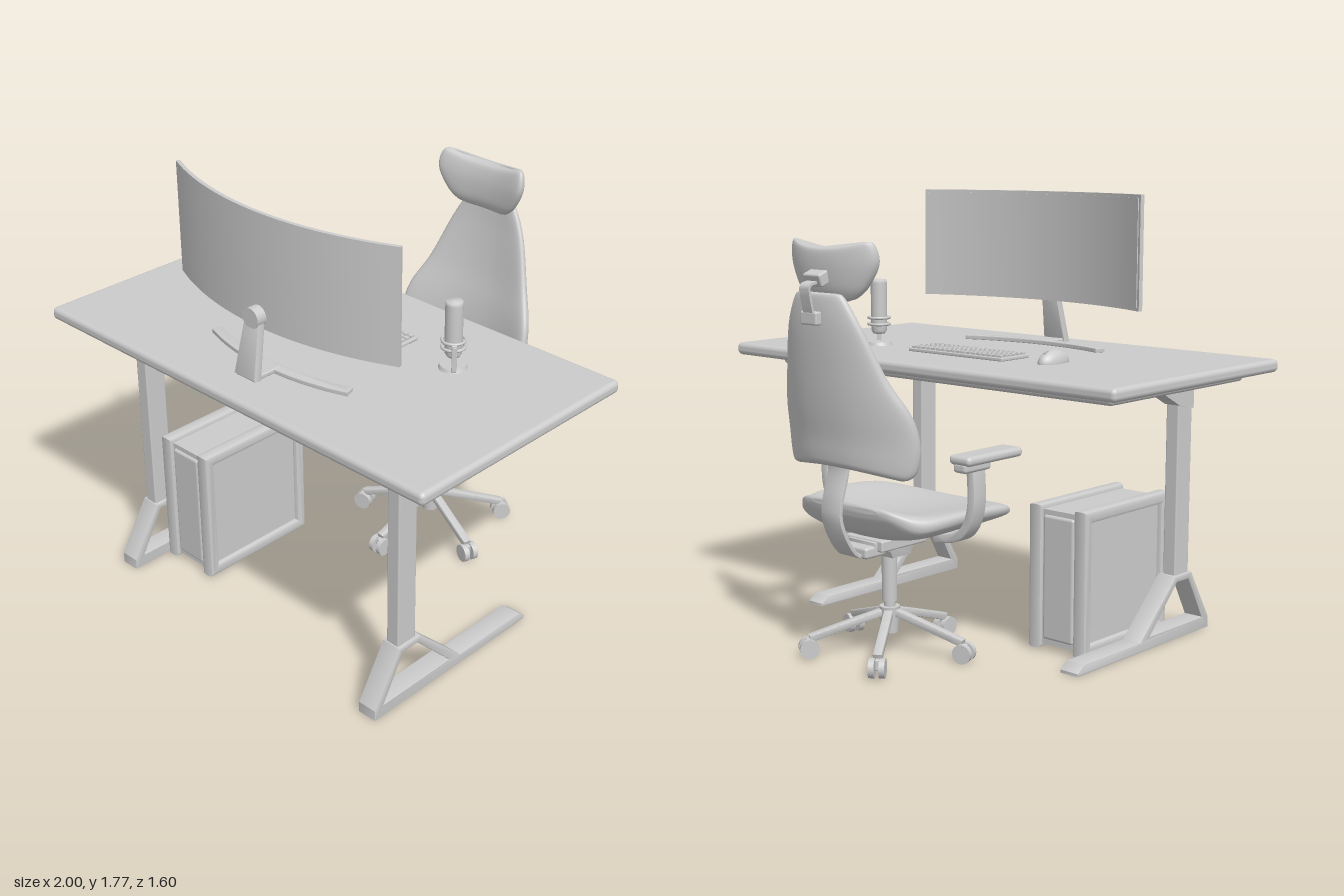
import * as THREE from 'three';
import { mergeGeometries, toCreasedNormals } from 'three/addons/utils/BufferGeometryUtils.js';
import { RoundedBoxGeometry } from 'three/addons/geometries/RoundedBoxGeometry.js';

const material = new THREE.MeshStandardMaterial({ color: 0xcccccc, side: THREE.DoubleSide });

function add(parent, name, geometry, x = 0, y = 0, z = 0) {
  const mesh = new THREE.Mesh(geometry, material);
  mesh.name = name;
  mesh.position.set(x, y, z);
  parent.add(mesh);
  return mesh;
}
function group(parent, name, x = 0, y = 0, z = 0) {
  const g = new THREE.Group();
  g.name = name;
  g.position.set(x, y, z);
  parent.add(g);
  return g;
}
const box = (w, h, d) => new THREE.BoxGeometry(w, h, d);
const rbox = (w, h, d, r, s = 3) => new RoundedBoxGeometry(w, h, d, s, r);
const cyl = (rTop, rBottom, h, n = 32) => new THREE.CylinderGeometry(rTop, rBottom, h, n);
const vecs = (pts) => pts.map(([a, b]) => new THREE.Vector2(a, b));

// Extrusion centred on its depth, with an optional bevel
function slab(shape, depth, bevel = 0) {
  const g = new THREE.ExtrudeGeometry(shape, {
    depth: depth - 2 * bevel, bevelEnabled: bevel > 0, bevelThickness: bevel,
    bevelSize: bevel, bevelOffset: -bevel, bevelSegments: 2,
  });
  g.translate(0, 0, bevel - depth / 2);
  return toCreasedNormals(g, 0.5);
}
const poly = (pts) => new THREE.Shape(vecs(pts));
const toSide = (g) => g.rotateY(-Math.PI / 2); // drawn as (z, y)
const toTop = (g) => g.rotateX(Math.PI / 2); // drawn as (x, z)

// Band of constant thickness following a smooth path
function ribbon(pts, thickness, width, bevel = 0, n = 24) {
  const curve = new THREE.SplineCurve(vecs(pts));
  const left = [], right = [];
  for (let i = 0; i <= n; i++) {
    const p = curve.getPoint(i / n), t = curve.getTangent(i / n);
    const o = new THREE.Vector2(-t.y, t.x).multiplyScalar(thickness / 2);
    left.push(p.clone().add(o));
    right.unshift(p.clone().sub(o));
  }
  return slab(new THREE.Shape([...left, ...right]), width, bevel);
}
const arc = (radius, halfAngle, z) => Array.from({ length: 13 }, (_, i) => {
  const a = halfAngle * (i / 6 - 1);
  return [radius * Math.sin(a), z + radius * (Math.cos(a) - 1)];
});

// Upholstered form. Rows: [along, low, high, halfWidth, bend, sag]
function cushion(rows, place, power = 0.7, n = 48, m = 40) {
  const spline = new THREE.CubicInterpolant(rows.map((_, i) => i), rows.flat(), 6);
  const pos = [], idx = [];
  const pw = (v) => Math.sign(v) * Math.abs(v) ** power;
  const put = (r, x, w) => pos.push(...place(x, w + r[4] * x * x, r[0] + r[5] * x * x));
  for (let i = 0; i <= m; i++) {
    const r = spline.evaluate((i / m) * (rows.length - 1));
    for (let j = 0; j < n; j++) {
      const a = (j / n) * Math.PI * 2;
      put(r, r[3] * pw(Math.cos(a)), (r[1] + r[2]) / 2 + ((r[2] - r[1]) / 2) * pw(Math.sin(a)));
      if (i === m) continue;
      const A = i * n + j, B = i * n + (j + 1) % n;
      idx.push(A, B, B + n, A, B + n, A + n);
    }
  }
  const first = (m + 1) * n;
  for (const r of [rows[0], rows[rows.length - 1]]) put(r, 0, (r[1] + r[2]) / 2);
  for (let j = 0; j < n; j++) {
    const k = (j + 1) % n;
    idx.push(first, k, j, first + 1, m * n + j, m * n + k);
  }
  const g = new THREE.BufferGeometry();
  g.setAttribute('position', new THREE.Float32BufferAttribute(pos, 3));
  g.setIndex(idx);
  g.computeVertexNormals();
  return g;
}

function buildDesk(root) {
  const desk = group(root, 'desk');
  add(desk, 'deskTop', rbox(2, 0.052, 1.08, 0.02), 0, 1.106, 0.26);
  add(desk, 'underPanel', rbox(1.75, 0.05, 0.875, 0.018), 0, 1.063, 0.308);
  const foot = poly([[0.745, 0], [0.745, 0.045], [0.615, 0.26], [0.5, 0.26], [0.27, 0.04],
    [-0.09, 0.04], [-0.125, 0.012], [-0.125, 0]]);
  foot.holes.push(new THREE.Path(vecs([[0.697, 0.053], [0.595, 0.235], [0.515, 0.235], [0.335, 0.053]])));
  const bracket = poly([[0.61, 0.93], [0.515, 0.95], [0.37, 1.025], [0.37, 1.045], [0.61, 1.045]]);
  for (const s of [-1, 1]) {
    const leg = group(desk, s > 0 ? 'leftLeg' : 'rightLeg', s * 0.695);
    add(leg, 'legFoot', toSide(slab(foot, 0.085, 0.004)));
    add(leg, 'legColumn', rbox(0.058, 0.8, 0.095, 0.006), 0, 0.64, 0.5625);
    add(leg, 'legBracket', toSide(slab(bracket, 0.072)));
  }
}

function buildMonitor(root) {
  const monitor = group(root, 'monitor');
  add(monitor, 'monitorShell', toTop(ribbon(arc(1.36, 0.438, 0.58), 0.016, 0.455, 0, 40)), 0, 1.543);
  add(monitor, 'screen', toTop(ribbon(arc(1.35, 0.428, 0.57), 0.004, 0.43, 0, 40)), 0, 1.543);
  add(monitor, 'standBase', toTop(ribbon(arc(1.05, 0.35, 0.545), 0.045, 0.018, 0.004)), 0, 1.141);
  add(monitor, 'standLink', rbox(0.1, 0.02, 0.14, 0.006), 0, 1.142, 0.595);
  const neck = poly([[-0.056, 0], [0.056, 0], [0.036, 0.23], [-0.036, 0.23]]);
  add(monitor, 'standNeck', slab(neck, 0.034, 0.004), 0, 1.135, 0.652).rotation.x = -0.2;
  add(monitor, 'standPivot', cyl(0.041, 0.041, 0.05).rotateX(Math.PI / 2), 0, 1.365, 0.605);
}

function buildDesktopItems(root) {
  // Keyboard with a grid of keys
  const keyboard = group(root, 'keyboard', 0, 1.132, 0.08);
  add(keyboard, 'keyboardBody', rbox(0.5, 0.014, 0.165, 0.004), 0, 0.007);
  const keys = [];
  for (let row = 0; row < 6; row++) for (let col = 0; col < 18; col++)
    keys.push(box(0.021, 0.01, 0.02).translate((col - 8.5) * 0.0268, 0.017, (row - 2.5) * 0.0258));
  add(keyboard, 'keys', mergeGeometries(keys));

  // Mouse
  const mouse = group(root, 'mouse', -0.415, 1.132, 0.112);
  add(mouse, 'mouseBody', new THREE.SphereGeometry(1, 32, 12, 0, Math.PI * 2, 0, Math.PI / 2).scale(0.043, 0.052, 0.082));
  add(mouse, 'mouseWheel', cyl(0.012, 0.012, 0.01, 16).rotateZ(Math.PI / 2), 0, 0.04, -0.045);

  // Microphone on its stand
  const mic = group(root, 'microphone', 0.49, 1.132, 0.07);
  const profile = vecs([[0, 0.046], [0.024, 0.048], [0.032, 0.06], [0.034, 0.11], [0.034, 0.26], [0.031, 0.274], [0, 0.278]]);
  add(mic, 'microphoneBody', new THREE.LatheGeometry(profile, 32));
  add(mic, 'microphoneBase', cyl(0.05, 0.056, 0.014), 0, 0.007);
  for (const y of [0.088, 0.115])
    add(mic, 'microphoneRing', new THREE.TorusGeometry(0.044, 0.006, 10, 32).rotateX(Math.PI / 2), 0, y);
  const arm = group(mic, 'microphoneArm');
  arm.rotation.y = -Math.PI / 4;
  add(arm, 'armBar', rbox(0.008, 0.11, 0.02, 0.003), 0.053, 0.06);
  add(arm, 'armKnob', cyl(0.01, 0.01, 0.02, 16).rotateZ(Math.PI / 2), 0.055, 0.1);
}

function buildComputer(root) {
  const pc = group(root, 'computerCase', -0.505, 0.298, 0.303);
  add(pc, 'caseBody', box(0.2, 0.54, 0.51));
  add(pc, 'caseFront', rbox(0.15, 0.5, 0.53, 0.012));
  const outline = (w, h) => [[-w, -h], [w, -h], [w, h], [-w, h]];
  const frame = poly(outline(0.273, 0.288));
  frame.holes.push(new THREE.Path(vecs(outline(0.226, 0.24).reverse())));
  for (const s of [-1, 1]) {
    add(pc, 'casePanelFrame', toSide(slab(frame, 0.06, 0.014)), s * 0.11);
    add(pc, 'casePanel', box(0.03, 0.5, 0.47), s * 0.105);
  }
}

function buildChair(root) {
  const chair = group(root, 'chair');
  add(chair, 'seat', cushion([
    [-0.625, 0.615, 0.635, 0.17, 0, 0.2], [-0.61, 0.575, 0.645, 0.24, 0, 0.2],
    [-0.55, 0.51, 0.625, 0.31, 0.1, 0.1], [-0.45, 0.477, 0.585, 0.35, 0.4, 0],
    [-0.3, 0.472, 0.572, 0.365, 0.5, 0], [-0.12, 0.485, 0.572, 0.36, 0.4, 0],
    [-0.01, 0.505, 0.57, 0.33, 0.25, -0.3], [0.03, 0.53, 0.552, 0.28, 0.1, -0.4],
  ], (x, w, u) => [x, w, u]));
  const upright = (x, w, u) => [x, u, w];
  add(chair, 'backrest', cushion([
    [1.435, -0.742, -0.728, 0.09, 0.9, 0], [1.42, -0.758, -0.715, 0.125, 0.9, 0],
    [1.31, -0.76, -0.7, 0.187, 0.9, 0], [1.13, -0.742, -0.665, 0.256, 0.9, 0],
    [1.0, -0.725, -0.63, 0.318, 0.9, 0], [0.9, -0.708, -0.61, 0.335, 0.9, -0.1],
    [0.83, -0.7, -0.608, 0.325, 0.9, -0.3], [0.8, -0.692, -0.615, 0.305, 0.9, -0.4],
    [0.785, -0.668, -0.638, 0.28, 0.9, -0.4],
  ], upright));
  add(chair, 'headrest', cushion([
    [1.6, -0.71, -0.69, 0.17, 1, 0.7], [1.585, -0.728, -0.665, 0.205, 1, 0.7],
    [1.53, -0.73, -0.648, 0.217, 1, 0.3], [1.46, -0.72, -0.645, 0.175, 1, 0],
    [1.42, -0.705, -0.655, 0.135, 1, 0], [1.405, -0.692, -0.672, 0.1, 1, 0],
  ], upright));

  // Headrest bracket and spine
  add(chair, 'headrestMount', rbox(0.09, 0.05, 0.05, 0.008), 0, 1.487, -0.738).rotation.x = -0.35;
  add(chair, 'headrestArm', toSide(ribbon([[-0.75, 1.475], [-0.785, 1.468], [-0.796, 1.45], [-0.785, 1.39], [-0.772, 1.345]], 0.01, 0.05)));
  add(chair, 'headrestClamp', rbox(0.085, 0.05, 0.035, 0.008), 0, 1.345, -0.767);
  add(chair, 'spine', toSide(ribbon([[-0.47, 0.43], [-0.57, 0.43], [-0.625, 0.475], [-0.672, 0.57], [-0.672, 0.65], [-0.64, 0.77], [-0.65, 0.86]], 0.017, 0.1, 0.003, 40)));
  add(chair, 'spineMount', rbox(0.15, 0.045, 0.11, 0.012), 0, 0.443, -0.52);

  // Tilt mechanism
  const mechanism = poly([[-0.27, 0.478], [-0.28, 0.44], [-0.32, 0.435], [-0.33, 0.4], [-0.43, 0.4], [-0.445, 0.43], [-0.53, 0.44], [-0.53, 0.478]]);
  add(chair, 'mechanism', toSide(slab(mechanism, 0.15, 0.004)));
  add(chair, 'mechanismPlate', rbox(0.2, 0.045, 0.25, 0.008), 0, 0.463, -0.39);

  // Armrests
  for (const s of [-1, 1]) {
    const arm = group(chair, s > 0 ? 'leftArmrest' : 'rightArmrest');
    add(arm, 'armPad', rbox(0.105, 0.037, 0.31, 0.017), s * 0.393, 0.818, -0.255);
    add(arm, 'armPadMount', rbox(0.065, 0.04, 0.15, 0.014), s * 0.39, 0.79, -0.33);
    add(arm, 'armPost', ribbon([[0.385, 0.805], [0.393, 0.72], [0.392, 0.63], [0.365, 0.55], [0.31, 0.505], [0.2, 0.485]]
      .map(([x, y]) => [s * x, y]), 0.036, 0.072, 0.007), 0, 0, -0.31);
  }

  // Gas lift and five-star base
  const base = group(chair, 'chairBase', 0, 0, -0.375);
  add(base, 'gasLiftOuter', cyl(0.03, 0.03, 0.2), 0, 0.31);
  add(base, 'gasLiftInner', cyl(0.022, 0.022, 0.1), 0, 0.18);
  add(base, 'hub', cyl(0.04, 0.033, 0.105), 0, 0.136);
  for (let i = 0; i < 5; i++) {
    const spoke = group(base, 'spoke');
    spoke.rotation.y = (i * Math.PI * 2) / 5;
    add(spoke, 'spokeArm', toSide(ribbon([[0.02, 0.168], [0.16, 0.125], [0.315, 0.076]], 0.03, 0.036, 0.006)));
    add(spoke, 'casterFork', rbox(0.018, 0.045, 0.035, 0.006), 0, 0.052, 0.315);
    for (const s of [-1, 1])
      add(spoke, 'casterWheel', cyl(0.038, 0.038, 0.022, 24).rotateZ(Math.PI / 2), s * 0.02, 0.038, 0.318);
  }
}

export function createModel() {
  const root = new THREE.Group();
  root.name = 'workstation';
  buildDesk(root);
  buildMonitor(root);
  buildDesktopItems(root);
  buildComputer(root);
  buildChair(root);
  return root;
}
